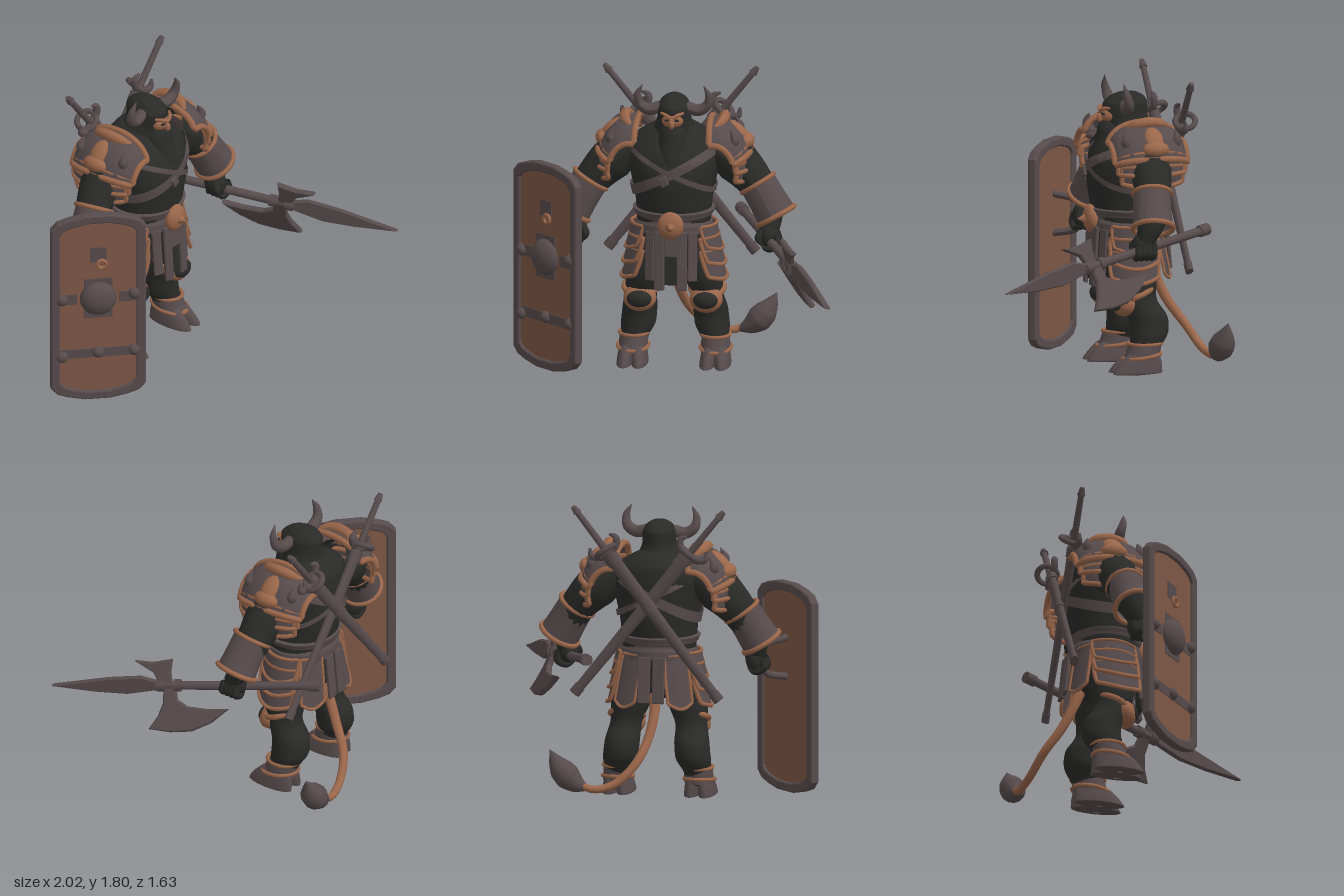
import * as THREE from 'three';
import { ParametricGeometry } from 'three/addons/geometries/ParametricGeometry.js';
import { RoundedBoxGeometry } from 'three/addons/geometries/RoundedBoxGeometry.js';

const V = (x, y, z) => new THREE.Vector3(x, y, z);
const rad = THREE.MathUtils.degToRad;
const material = (name, color) => {
  const m = new THREE.MeshStandardMaterial({ color, side: THREE.DoubleSide });
  m.name = name;
  return m;
};

export function createModel() {
  const dark = material('dark hide', 0x2a2a29);
  const steel = material('dull steel', 0x574b4c);
  const copper = material('copper trim', 0x99664a);
  const leather = material('shield brown', 0x7d5745);

  const add = (parent, name, geo, mat, pos = [0, 0, 0], scale = [1, 1, 1], rot = [0, 0, 0]) => {
    const mesh = new THREE.Mesh(geo, mat);
    mesh.name = name;
    mesh.position.set(...pos);
    mesh.scale.set(...scale);
    mesh.rotation.set(...rot);
    parent.add(mesh);
    return mesh;
  };
  const group = (parent, name) => {
    const g = new THREE.Group();
    g.name = name;
    parent.add(g);
    return g;
  };
  const ball = (parent, name, mat, pos, size, rot) =>
    add(parent, name, new THREE.SphereGeometry(1, 20, 14), mat, pos, size, rot);
  const block = (parent, name, mat, pos, size, rot) =>
    add(parent, name, new RoundedBoxGeometry(...size, 2, Math.min(...size) * 0.3), mat, pos, [1, 1, 1], rot);

  // Tube whose radius changes along its path
  const limb = (parent, name, mat, points, radii, sides = 14) => {
    const curve = new THREE.CatmullRomCurve3(points.map((p) => V(...p)));
    const n = 24, geo = new THREE.TubeGeometry(curve, n, 1, sides), pos = geo.attributes.position;
    for (let i = 0; i <= n; i++) {
      const c = curve.getPointAt(i / n), t = (i / n) * (radii.length - 1);
      const k = Math.min(Math.floor(t), radii.length - 2);
      const r = THREE.MathUtils.lerp(radii[k], radii[k + 1], t - k);
      for (let j = 0; j <= sides; j++) {
        const id = i * (sides + 1) + j, p = V().fromBufferAttribute(pos, id).sub(c).multiplyScalar(r).add(c);
        pos.setXYZ(id, p.x, p.y, p.z);
      }
    }
    geo.computeVertexNormals();
    return add(parent, name, geo, mat);
  };

  // Elliptical rings stacked upward: [x, y, z, rx, rz]
  const section = (stations) => {
    const mid = new THREE.CatmullRomCurve3(stations.map((s) => V(s[0], s[1], s[2])));
    const size = new THREE.CatmullRomCurve3(stations.map((s) => V(s[3], s[4], 0)));
    return (u, v, target) => {
      const c = mid.getPoint(v), r = size.getPoint(v), a = u * Math.PI * 2;
      target.set(c.x + r.x * Math.sin(a), c.y, c.z + r.y * Math.cos(a));
    };
  };
  const loft = (parent, name, mat, stations, sides = 24) =>
    add(parent, name, new ParametricGeometry(section(stations), sides, 28), mat);

  // Curved armour plate with a rolled rim
  const plate = (parent, name, f, rim) => {
    const g = group(parent, name), edge = [], n = 8;
    add(g, name + 'Face', new ParametricGeometry(f, 16, 10), steel);
    for (const [u, v, du, dv] of [[0, 0, 1, 0], [1, 0, 0, 1], [1, 1, -1, 0], [0, 1, 0, -1]])
      for (let i = 0; i < n; i++) {
        const p = V();
        f(u + (du * i) / n, v + (dv * i) / n, p);
        edge.push(p);
      }
    add(g, name + 'Rim', new THREE.TubeGeometry(new THREE.CatmullRomCurve3(edge, true), 64, rim, 6, true), copper);
  };
  // Ring around a direction
  const ring = (parent, name, mat, pos, dir, r, tube) =>
    add(parent, name, new THREE.TorusGeometry(r, tube, 8, 28), mat, pos).quaternion
      .setFromUnitVectors(V(0, 0, 1), V(...dir).normalize());

  const root = new THREE.Group();
  root.name = 'hornedWarrior';
  const body = group(root, 'body');
  body.position.set(-0.04, 0, -0.32);

  // Torso, belt and buckle
  loft(body, 'torso', dark, [[0, 0.6, 0, 0.05, 0.05], [0, 0.66, 0, 0.18, 0.16], [0, 0.8, 0.03, 0.215, 0.19],
    [0, 0.95, 0.03, 0.225, 0.205], [0, 1.07, 0.03, 0.235, 0.225], [0, 1.2, 0.03, 0.262, 0.235],
    [0, 1.33, 0.01, 0.285, 0.22], [0, 1.43, -0.02, 0.23, 0.18], [0, 1.5, -0.02, 0.11, 0.12], [0, 1.53, -0.02, 0.01, 0.01]], 32);
  loft(body, 'belt', steel, [[0, 0.85, 0.03, 0.2, 0.18], [0, 0.855, 0.03, 0.24, 0.215], [0, 0.9, 0.03, 0.235, 0.215],
    [0, 0.95, 0.03, 0.235, 0.215], [0, 0.985, 0.03, 0.25, 0.225], [0, 0.995, 0.03, 0.21, 0.19]], 32);
  ball(body, 'buckle', copper, [0, 0.92, 0.25], [0.08, 0.085, 0.045]);
  add(body, 'buckleSpike', new THREE.ConeGeometry(0.045, 0.07, 12), copper, [0, 0.92, 0.3], [1, 1, 1], [Math.PI / 2, 0, 0]);

  // Crossed straps round the chest
  for (const [slope, width, grow] of [[0.14, 0.065, 0.012], [-0.13, 0.035, 0.007]])
    add(body, 'chestStrap', new ParametricGeometry((u, v, target) => {
      const a = u * Math.PI * 2, y = 1.24 + slope * Math.sin(a) + (v - 0.5) * width;
      const k = Math.max(0, y - 1.3) * 0.45, low = Math.max(0, 1.2 - y) * 0.22;
      target.set((0.27 + grow - low) * Math.sin(a), y, 0.025 - k * 0.3 + (0.238 + grow - k) * Math.cos(a));
    }, 48, 2), steel);
  block(body, 'strapBuckle', steel, [-0.04, 1.2, 0.28], [0.05, 0.06, 0.02], [0, 0, 0.5]);

  // Hooded head, face and beard
  loft(body, 'hood', dark, [[0, 1.3, 0, 0.24, 0.18], [0, 1.4, 0, 0.185, 0.15], [0, 1.47, 0.01, 0.13, 0.14], [0, 1.54, 0.03, 0.102, 0.135],
    [0, 1.61, 0.033, 0.1, 0.138], [0, 1.655, 0.025, 0.075, 0.105], [0, 1.678, 0.02, 0.04, 0.055], [0, 1.684, 0.02, 0.003, 0.003]], 28);
  ball(body, 'face', copper, [0, 1.545, 0.115], [0.068, 0.055, 0.075]);
  for (const k of [-1, 1])
    limb(body, 'browRidge', copper, [[k * 0.006, 1.572, 0.193], [k * 0.035, 1.588, 0.182], [k * 0.068, 1.595, 0.15]], [0.012, 0.012, 0.008], 8);
  ball(body, 'nose', copper, [0, 1.53, 0.19], [0.016, 0.028, 0.022]);
  loft(body, 'beard', dark, [[0, 1.265, 0.19, 0.01, 0.01], [0, 1.28, 0.185, 0.05, 0.06], [0, 1.33, 0.165, 0.075, 0.075],
    [0, 1.4, 0.13, 0.087, 0.088], [0, 1.47, 0.11, 0.082, 0.095], [0, 1.515, 0.1, 0.06, 0.085]]);

  // Skirt plates sit on a widening ellipse
  const skirt = (a0, a1, top, bottom, lift = 0) => (u, v, target) => {
    const y = top + (bottom - top) * v - 0.035 * v * Math.sin(u * Math.PI);
    const a = rad(a0 + (a1 - a0) * (0.5 + (u - 0.5) * (1 - 0.15 * v * v)));
    const r = 0.235 + (0.9 - y) * 0.24 + lift;
    target.set(r * Math.sin(a), y, 0.02 + r * 0.79 * Math.cos(a));
  };

  for (const side of [1, -1]) {
    const half = group(body, side > 0 ? 'leftSide' : 'rightSide');
    half.scale.x = side;

    limb(half, 'horn', steel, [[0.08, 1.61, 0.06], [0.15, 1.595, 0.07], [0.205, 1.63, 0.075], [0.215, 1.69, 0.09], [0.185, 1.755, 0.1]],
      [0.036, 0.036, 0.032, 0.022, 0.002], 10);
    block(half, 'eye', dark, [0.03, 1.557, 0.183], [0.028, 0.012, 0.012], [0, 0.3, 0]);

    // Shoulder armour
    const cap = (t0, t1, k, w) => (u, v, target) => {
      const p = rad((u - 0.5) * 2 * w), t = rad(t0 + (t1 - t0) * v);
      target.set(0.25 + 0.215 * k * Math.sqrt(Math.cos(p)) * Math.sin(t),
        1.25 + 0.275 * k * Math.sqrt(Math.cos(p)) * Math.cos(t), -0.01 + 0.235 * k * Math.sin(p));
    };
    plate(half, 'lowerShoulderPlate', cap(80, 110, 0.93, 60), 0.016);
    plate(half, 'middleShoulderPlate', cap(62, 92, 0.98, 66), 0.015);
    plate(half, 'upperShoulderPlate', cap(-8, 72, 1.03, 70), 0.02);
    limb(half, 'shoulderCrest', copper, [[0.25, 1.49, 0.12], [0.29, 1.525, 0.06], [0.3, 1.535, -0.02], [0.29, 1.525, -0.1], [0.25, 1.49, -0.15]],
      [0.015, 0.03, 0.034, 0.03, 0.015], 8);
    ball(half, 'shoulderBoss', copper, [0.425, 1.39, -0.02], [0.055, 0.05, 0.085], [0, 0, 0.4]);
    ball(half, 'shoulderBossBrow', copper, [0.385, 1.45, -0.02], [0.085, 0.035, 0.06], [0, 0, -0.75]);
    for (const z of [0.13, -0.15]) {
      limb(half, 'shoulderSpike', steel, [[0.35, 1.38, z], [0.375, 1.44, z * 1.15], [0.35, 1.5, z * 1.1]], [0.036, 0.03, 0.002], 8);
      ball(half, 'shoulderStud', steel, [0.405, 1.36, z * 0.9], [0.03, 0.03, 0.035]);
    }

    // Arm, bracer and fist
    limb(half, 'arm', dark, [[0.24, 1.36, 0], [0.37, 1.27, 0], [0.5, 1.13, 0.02], [0.575, 0.98, 0.055], [0.585, 0.86, 0.1]],
      [0.11, 0.135, 0.11, 0.095, 0.055]);
    limb(half, 'bracer', steel, [[0.505, 1.14, 0.03], [0.56, 1.05, 0.045], [0.62, 0.95, 0.06]], [0.112, 0.115, 0.122], 18);
    ring(half, 'bracerUpperRim', copper, [0.505, 1.14, 0.03], [0.55, -0.85, 0.14], 0.112, 0.014);
    ring(half, 'bracerLowerRim', copper, [0.62, 0.95, 0.06], [0.5, -0.85, 0.14], 0.122, 0.016);
    ball(half, 'palm', dark, [0.575, 0.84, 0.1], [0.06, 0.085, 0.075]);
    for (let i = 0; i < 4; i++)
      limb(half, 'finger', dark, [[0.625, 0.85, 0.055 + i * 0.032], [0.63, 0.79, 0.06 + i * 0.032], [0.57, 0.765, 0.06 + i * 0.032],
        [0.535, 0.79, 0.06 + i * 0.032]], [0.02, 0.025, 0.022, 0.003], 8);
    limb(half, 'thumb', dark, [[0.54, 0.87, 0.13], [0.52, 0.83, 0.16], [0.54, 0.79, 0.165]], [0.025, 0.023, 0.005], 8);

    // Leg and calf
    loft(half, 'leg', dark, [[0.245, 0.08, -0.01, 0.06, 0.07], [0.24, 0.16, -0.02, 0.08, 0.092], [0.222, 0.25, -0.045, 0.106, 0.118],
      [0.213, 0.34, -0.04, 0.105, 0.12], [0.2, 0.44, 0.01, 0.095, 0.11], [0.175, 0.56, 0.03, 0.118, 0.135],
      [0.14, 0.7, 0.02, 0.115, 0.15], [0.12, 0.8, 0.01, 0.07, 0.1]]);
    // Knee guard
    ring(half, 'kneeBand', copper, [0.2, 0.485, 0.03], [0, 1, 0.4], 0.1, 0.018);
    ball(half, 'kneeRim', copper, [0.2, 0.43, 0.1], [0.1, 0.085, 0.07], [-0.4, 0, 0]);
    ball(half, 'kneeCap', dark, [0.2, 0.43, 0.13], [0.079, 0.058, 0.056], [-0.4, 0, 0]);
    // Ankle guard and cloven hoof
    loft(half, 'ankleGuard', steel, [[0.25, 0.09, 0.01, 0.09, 0.115], [0.248, 0.13, 0, 0.088, 0.105], [0.245, 0.19, -0.015, 0.085, 0.1]]);
    add(half, 'ankleRim', new THREE.TorusGeometry(0.088, 0.011, 6, 24), copper, [0.246, 0.185, -0.012], [1, 1.15, 1], [Math.PI / 2, 0, 0]);
    add(half, 'ankleLowerRim', new THREE.TorusGeometry(0.092, 0.012, 6, 24), copper, [0.25, 0.11, 0.01], [1, 1.25, 1], [Math.PI / 2 + 0.12, 0, 0]);
    for (const k of [-1, 1])
      loft(half, 'hoofToe', steel, [[0.25 + k * 0.045, 0, 0.05, 0.01, 0.02], [0.25 + k * 0.045, 0.012, 0.05, 0.05, 0.155],
        [0.25 + k * 0.04, 0.06, 0.035, 0.05, 0.14], [0.25 + k * 0.033, 0.12, 0.01, 0.044, 0.1], [0.25 + k * 0.03, 0.14, 0, 0.01, 0.02]], 16);

    // Overlapping thigh plates and hanging tabs
    plate(half, 'thighPlateLow', skirt(40, 122, 0.74, 0.59), 0.013);
    plate(half, 'thighPlateMiddle', skirt(40, 124, 0.82, 0.68, 0.012), 0.013);
    plate(half, 'thighPlateHigh', skirt(42, 126, 0.89, 0.77, 0.02), 0.011);
    plate(half, 'backThighPlate', skirt(128, 163, 0.88, 0.6, 0.004), 0.01);
    block(half, 'frontTab', steel, [0.068, 0.7, 0.25], [0.062, 0.36, 0.022], [-0.06, 0.15, 0]);
    block(half, 'frontSideTab', steel, [0.128, 0.72, 0.215], [0.06, 0.3, 0.02], [-0.08, 0.45, 0]);
    block(half, 'backTab', steel, [0.045, 0.74, -0.215], [0.075, 0.28, 0.02], [0.1, 0.1, 0]);
  }
  block(body, 'middleTab', steel, [0, 0.8, 0.247], [0.08, 0.15, 0.02], [-0.05, 0, 0]);
  block(body, 'loincloth', dark, [0, 0.66, 0.243], [0.1, 0.22, 0.018], [-0.05, 0, 0]);

  // Tail with tuft
  limb(root, 'tail', copper, [[-0.04, 0.7, -0.42], [-0.05, 0.55, -0.48], [-0.03, 0.4, -0.55], [0.03, 0.25, -0.65], [0.15, 0.13, -0.71],
    [0.27, 0.1, -0.74], [0.36, 0.13, -0.75]], [0.035, 0.03, 0.027, 0.025, 0.022]);
  limb(root, 'tailTuft', steel, [[0.31, 0.105, -0.74], [0.38, 0.135, -0.74], [0.44, 0.185, -0.74], [0.49, 0.25, -0.745], [0.535, 0.335, -0.75]],
    [0.018, 0.055, 0.08, 0.073, 0.04, 0.002], 14);

  // Two sheathed swords crossed on the back
  for (const [top, low] of [[[-0.48, 1.78, -0.54], [0.43, 0.645, -0.54]], [[0.43, 1.78, -0.55], [-0.47, 0.64, -0.585]]]) {
    const sword = group(root, 'sheathedSword'), dir = V(...top).sub(V(...low));
    sword.position.set(...low);
    sword.quaternion.setFromUnitVectors(V(0, 1, 0), dir.normalize());
    add(sword, 'scabbard', new THREE.CylinderGeometry(0.044, 0.028, 1.1, 12), steel, [0, 0.55, 0], [1, 1, 0.65]);
    for (const [y, r] of [[0.03, 0.034], [0.7, 0.044], [1.06, 0.05]])
      add(sword, 'scabbardBand', new THREE.CylinderGeometry(r, r, 0.06, 12), steel, [0, y, 0], [1, 1, 0.7]);
    add(sword, 'grip', new THREE.CylinderGeometry(0.018, 0.022, 0.34, 10), steel, [0, 1.27, 0]);
    add(sword, 'pommel', new THREE.CylinderGeometry(0.014, 0.026, 0.05, 8), steel, [0, 1.44, 0]);
    ring(sword, 'guardRing', steel, [0, 1.13, -0.02], [0, 1, 0.2], 0.06, 0.018);
    for (const k of [-1, 1])
      limb(sword, 'guardArm', steel, [[0, 1.11, 0], [k * 0.06, 1.12, 0.01], [k * 0.095, 1.16, 0.01], [k * 0.075, 1.2, 0.01]],
        [0.025, 0.022, 0.022, 0.008], 8);
  }

  // Polearm, built along its own x axis
  const polearm = group(root, 'polearm'), along = V(0.68, -0.21, 1.5).normalize();
  const across = V().crossVectors(along, V(0, 1, 0)).normalize(), up = V().crossVectors(across, along);
  polearm.quaternion.setFromRotationMatrix(new THREE.Matrix4().makeBasis(along, up, across));
  polearm.position.set(0.32, 0.88, -0.69);
  const rod = (name, a, b, r) => add(polearm, name, new THREE.CylinderGeometry(r, r, b - a, 10), steel,
    [(a + b) / 2, 0, 0], [1, 1, 1], [0, 0, Math.PI / 2]);
  rod('shaft', 0, 1.02, 0.027);
  rod('shaftButt', 0, 0.07, 0.036);
  rod('shaftCollar', 0.86, 0.9, 0.038);
  rod('spearSocket', 0.96, 1.01, 0.038);
  const blade = (name, roll, points) => {
    const shape = new THREE.Shape(points.map((p) => new THREE.Vector2(...p)));
    const geo = new THREE.ExtrudeGeometry(shape, { depth: 0.012, bevelEnabled: true, bevelThickness: 0.012, bevelSize: 0.008, bevelSegments: 1 });
    add(polearm, name, geo.translate(0, 0, -0.006), steel, [0, 0, 0], [1, 1, 1], [roll, 0, 0]);
  };
  blade('spearPoint', 0, [[0.98, -0.018], [1.2, -0.05], [1.4, -0.035], [1.65, 0], [1.3, 0.045], [1.1, 0.055], [0.98, 0.018]]);
  blade('axeBlade', 0.45, [[0.96, 0], [0.9, 0], [0.89, -0.09], [0.825, -0.135], [0.705, -0.15], [0.575, -0.145], [0.68, -0.22], [0.8, -0.27],
    [0.93, -0.275], [1.055, -0.26], [1.0, -0.19], [0.965, -0.11]]);
  blade('axeSpike', 0.3, [[0.92, 0], [0.98, 0], [1.02, 0.085], [1.13, 0.15], [1.025, 0.135], [0.91, 0.155], [0.925, 0.085]]);

  // Shield, built facing its own +z
  const shield = group(root, 'shield');
  shield.position.set(-0.782, 0.65, -0.072);
  shield.rotation.y = -0.761;
  const corner = [[0.285, 0.55], [0.25, 0.59], [0.185, 0.613], [0.08, 0.635]];
  const outline = (k) => [[1, 1], [-1, 1], [-1, -1], [1, -1]].flatMap(([sx, sy]) =>
    (sx === sy ? corner : [...corner].reverse())
      .map(([x, y]) => new THREE.Vector2(sx * x * (1 - k / 0.285), sy * y * (1 - k / 0.635))));
  add(shield, 'shieldBoard', new THREE.ExtrudeGeometry(new THREE.Shape(outline(0.03)), { depth: 0.024, bevelEnabled: false }), leather, [0, 0, -0.012]);
  const rimShape = new THREE.Shape(outline(0.008));
  rimShape.holes.push(new THREE.Path(outline(0.042)));
  add(shield, 'shieldRim', new THREE.ExtrudeGeometry(rimShape, { depth: 0.03, bevelEnabled: true, bevelThickness: 0.014, bevelSize: 0.012, bevelSegments: 3 }),
    steel, [0, 0, -0.015]);
  for (const [x, y, w, h] of [[0, 0.06, 0.17, 0.27], [0.19, 0.06, 0.12, 0.07], [-0.19, 0.06, 0.12, 0.07],
    [0, -0.32, 0.46, 0.06], [0, 0.36, 0.1, 0.1]])
    add(shield, 'shieldPatch', new THREE.BoxGeometry(w, h, 0.006), steel, [x, y, 0.014]);
  const stud = (name, x, y, r, height) => add(shield, name, new THREE.SphereGeometry(1, 24, 8, 0, Math.PI * 2, 0, Math.PI / 2),
    steel, [x, y, 0.012], [r, height, r], [Math.PI / 2, 0, 0]);
  stud('shieldBoss', 0, 0.06, 0.112, 0.07);
  for (const [x, y] of [[-0.22, 0.06], [0.22, 0.08], [-0.22, -0.335], [0, -0.315], [0.22, -0.315]])
    stud('shieldRivet', x, y, 0.038, 0.036);
  ring(shield, 'shieldRing', copper, [0.02, 0.3, 0.025], [0, 0, 1], 0.026, 0.011);
  limb(shield, 'shieldHandle', steel, [[0, 0.3, -0.01], [0, 0.27, -0.16], [0, 0.19, -0.21], [0, 0.1, -0.16], [0, 0.06, -0.01]], [0.022, 0.022], 8);

  return root;
}
